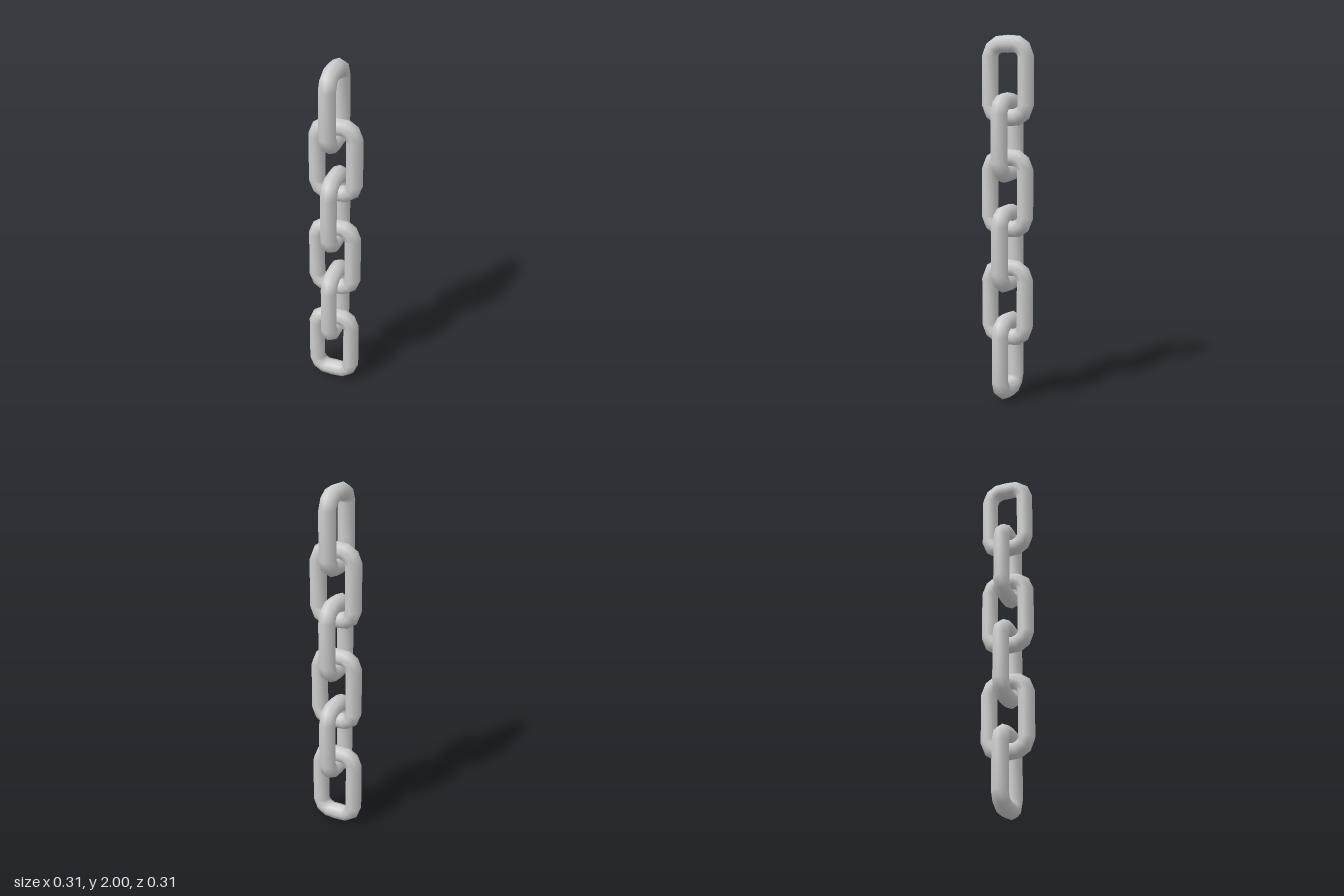
import * as THREE from 'three';

const SIDES = 8, RADIUS = 0.0475, HALF_HEIGHT = 0.2425, PITCH = 0.303;

// One quarter of a link's centre line: x, distance below the link's top, outward angle in degrees
const QUARTER = [[0.105, 0.112, 0], [0.087, 0.071, 37], [0.051, 0.049, 66], [0, 0.0475, 90]];

// Mirror the quarter into a closed loop, running counter-clockwise
function linkPath() {
  const q = QUARTER.map(([x, d, a]) => ({ x, y: HALF_HEIGHT - d, a: THREE.MathUtils.degToRad(a) }));
  const left = q.slice(0, 3).reverse().map(p => ({ x: -p.x, y: p.y, a: Math.PI - p.a }));
  const top = [...q, ...left];
  return [...top, ...top.map(p => ({ x: -p.x, y: -p.y, a: p.a + Math.PI }))];
}

// Sweep an octagonal section, one corner pointing outward, round the loop
function linkGeometry() {
  const path = linkPath(), positions = [], index = [];
  path.forEach(({ x, y, a }, i) => {
    const next = (i + 1) % path.length;
    for (let j = 0; j < SIDES; j++) {
      const t = (j / SIDES) * Math.PI * 2, r = RADIUS * Math.cos(t);
      positions.push(x + r * Math.cos(a), y + r * Math.sin(a), RADIUS * Math.sin(t));
      const k = (j + 1) % SIDES;
      const p = i * SIDES + j, q = next * SIDES + j, s = next * SIDES + k, u = i * SIDES + k;
      index.push(p, q, s, p, s, u);
    }
  });
  const geometry = new THREE.BufferGeometry();
  geometry.setAttribute('position', new THREE.Float32BufferAttribute(positions, 3));
  geometry.setIndex(index);
  geometry.computeVertexNormals();
  return geometry;
}

export function createModel() {
  const chain = new THREE.Group();
  chain.name = 'chain';
  const geometry = linkGeometry();
  const material = new THREE.MeshStandardMaterial({ color: 0xcccccc });
  // Small sideways offsets of the hanging links, bottom to top
  const offsets = [-0.005, 0.003, 0, 0.003, 0.005, -0.002];

  offsets.forEach((x, i) => {
    const link = new THREE.Mesh(geometry, material);
    link.name = `chainLink${i + 1}`;
    link.position.set(x, HALF_HEIGHT + i * PITCH, 0);
    // Every second link is turned a quarter
    link.rotation.y = i % 2 ? Math.PI / 2 : 0;
    chain.add(link);
  });
  return chain;
}
